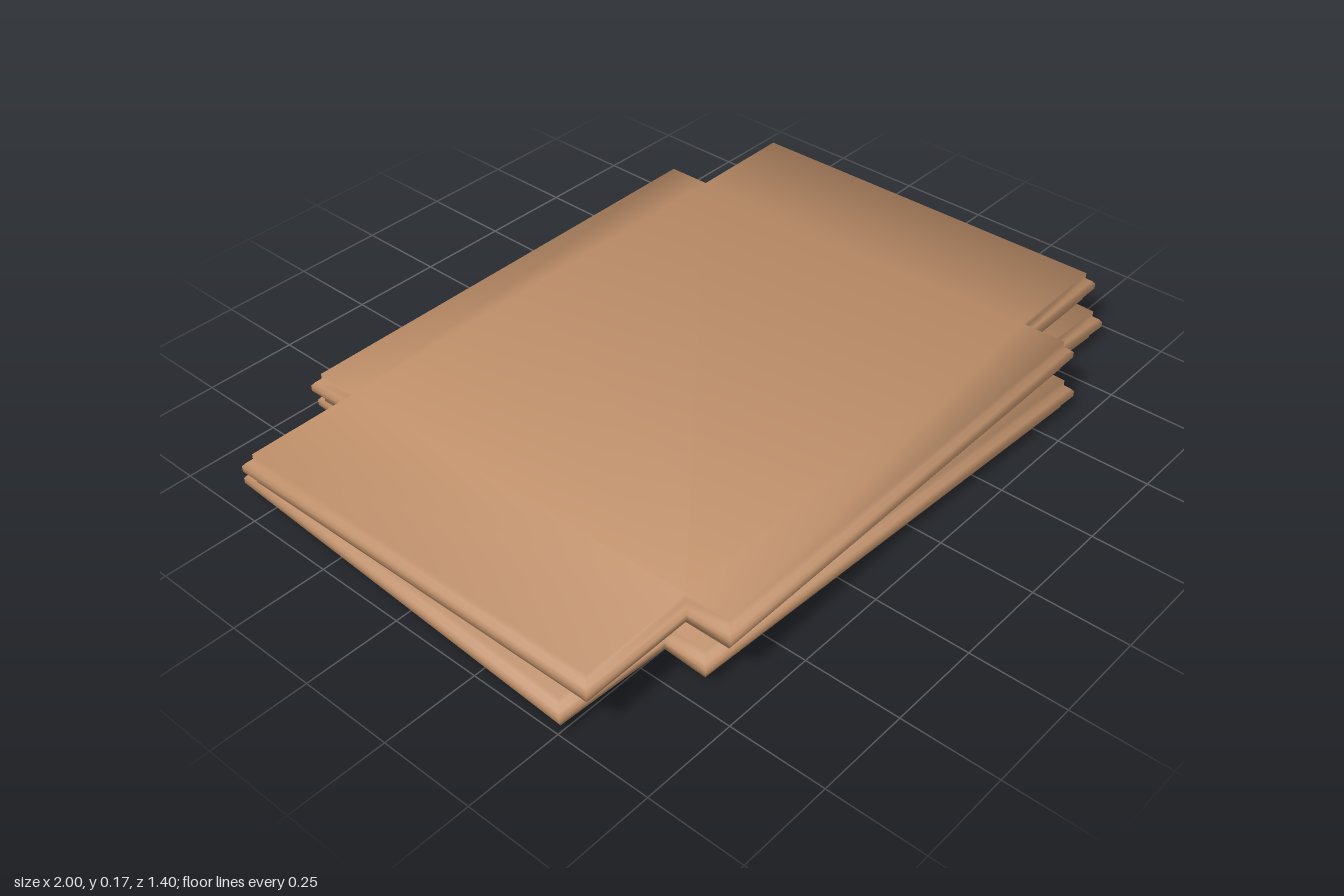
import * as THREE from 'three';

// Half sizes of the notched outline: full width, full depth, and where the corner notches sit
const HALF = { x: 0.976, z: 0.671, notchX: 0.671, notchZ: 0.55 };

// Moulded edge as [inset, height]
const EDGE = [
  [0.02, 0], [0.02, 0.02], [0.007, 0.025], [0, 0.034],
  [0, 0.049], [0.007, 0.058], [0.02, 0.063], [0.02, 0.0835],
];

// Twelve-cornered outline, moved inwards by the inset
function outline(inset) {
  const X = HALF.x - inset, Z = HALF.z - inset;
  const nx = HALF.notchX - inset, nz = HALF.notchZ - inset;
  const half = [[X, nz], [nx, nz], [nx, Z], [-nx, Z], [-nx, nz], [-X, nz]];
  return [...half, ...half.map(([x, z]) => [-x, -z])];
}

// Smooth normals, each face weighted by its angle at the corner
function smoothNormals(points, triangles) {
  const normals = points.map(() => new THREE.Vector3());
  for (const t of triangles) {
    const [a, b, c] = t.map((i) => points[i]);
    const n = b.clone().sub(a).cross(c.clone().sub(a)).normalize();
    for (let k = 0; k < 3; k++) {
      const p = points[t[k]];
      const u = points[t[(k + 1) % 3]].clone().sub(p);
      const v = points[t[(k + 2) % 3]].clone().sub(p);
      normals[t[k]].addScaledVector(n, u.angleTo(v));
    }
  }
  return normals.map((n) => n.normalize());
}

function slabGeometry() {
  const points = [];
  const triangles = [];
  const count = 12;
  for (const [inset, y] of EDGE) {
    for (const [x, z] of outline(inset)) points.push(new THREE.Vector3(x, y, z));
  }

  // Moulded sides
  for (let j = 0; j < EDGE.length - 1; j++) {
    for (let i = 0; i < count; i++) {
      const next = (i + 1) % count;
      const a = j * count + i, b = j * count + next;
      const c = b + count, d = a + count;
      triangles.push([a, d, b], [b, d, c]);
    }
  }

  // Flat bottom and top
  const flat = outline(EDGE[0][0]).map(([x, z]) => new THREE.Vector2(x, z));
  const last = (EDGE.length - 1) * count;
  for (const [i, j, k] of THREE.ShapeUtils.triangulateShape(flat, [])) {
    const turn = flat[j].clone().sub(flat[i]).cross(flat[k].clone().sub(flat[i]));
    const down = turn > 0 ? [i, j, k] : [i, k, j];
    triangles.push(down, [down[0] + last, down[2] + last, down[1] + last]);
  }

  const normals = smoothNormals(points, triangles);
  const geometry = new THREE.BufferGeometry();
  geometry.setAttribute('position', new THREE.Float32BufferAttribute(points.flatMap((p) => p.toArray()), 3));
  geometry.setAttribute('normal', new THREE.Float32BufferAttribute(normals.flatMap((n) => n.toArray()), 3));
  geometry.setIndex(triangles.flat());
  return geometry;
}

export function createModel() {
  const group = new THREE.Group();
  group.name = 'stackedSlabs';
  const wood = new THREE.MeshStandardMaterial({ color: 0xc0906a });
  wood.name = 'tan wood';
  const geometry = slabGeometry();

  // Two equal slabs, each turned a little
  const slabs = [['lowerSlab', 0, -0.045], ['upperSlab', 0.0835, 0.0095]];
  for (const [name, y, turn] of slabs) {
    const slab = new THREE.Mesh(geometry, wood);
    slab.name = name;
    slab.position.y = y;
    slab.rotation.y = turn;
    group.add(slab);
  }
  return group;
}
